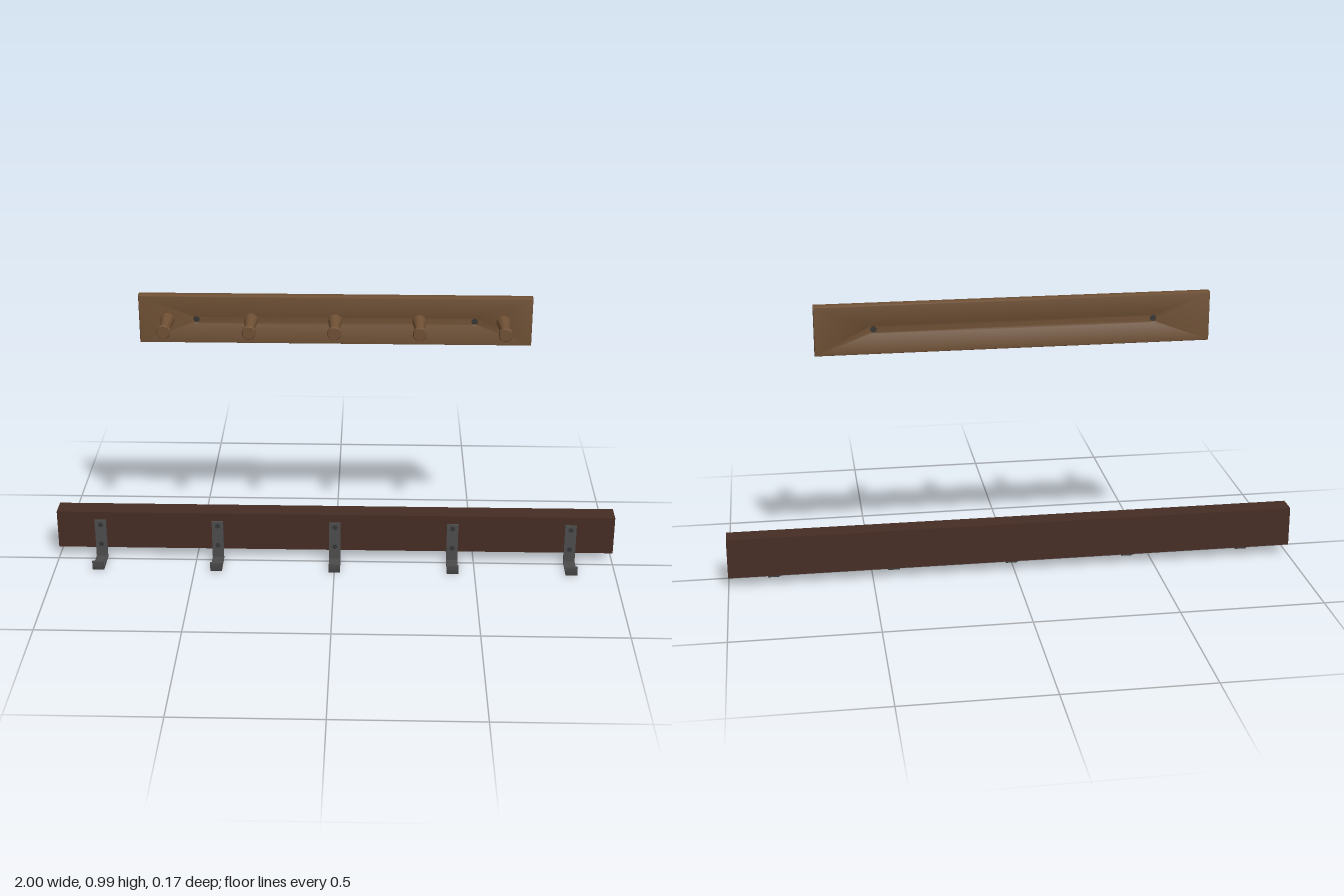
import * as THREE from 'three';
import { toCreasedNormals } from 'three/addons/utils/BufferGeometryUtils.js';

const material = (name, color) => {
  const m = new THREE.MeshStandardMaterial({ color });
  m.name = name;
  return m;
};

export function createModel() {
  const oak = material('warm wood', 0x6f5034);
  const walnut = material('dark wood', 0x452d24);
  const iron = material('iron', 0x4c4c4d);
  const screwMetal = material('screw metal', 0x353536);

  const group = (name, parent) => {
    const g = new THREE.Group();
    g.name = name;
    parent.add(g);
    return g;
  };
  const add = (parent, name, geometry, mat, x = 0, y = 0, z = 0) => {
    const mesh = new THREE.Mesh(geometry, mat);
    mesh.name = name;
    mesh.position.set(x, y, z);
    parent.add(mesh);
    return mesh;
  };
  const model = new THREE.Group();
  model.name = 'coatRacks';

  // Upper rack: softly bevelled board with two countersunk screw holes
  const pegRack = group('pegRack', model);
  const W = 0.672, H = 0.0855, bevel = 0.005;
  const outline = new THREE.Shape();
  outline.moveTo(-W, -H).lineTo(W, -H).lineTo(W, H).lineTo(-W, H).closePath();
  for (const x of [-0.475, 0.475]) {
    outline.holes.push(new THREE.Path().absarc(x, 0, 0.01, 0, Math.PI * 2, true));
  }
  const board = new THREE.ExtrudeGeometry(outline, {
    depth: 0.036 - 2 * bevel, bevelEnabled: true, bevelThickness: bevel,
    bevelSize: bevel, bevelOffset: -bevel, bevelSegments: 2, curveSegments: 10,
  });
  add(pegRack, 'board', toCreasedNormals(board, 0.7), oak, 0, 0.9075, -0.087 + bevel);

  // Screws sunk in the board
  const boardScrew = new THREE.CylinderGeometry(0.0105, 0.0105, 0.028, 16).rotateX(Math.PI / 2);
  for (const x of [-0.475, 0.475]) {
    add(pegRack, 'boardScrew', boardScrew, screwMetal, x, 0.9075, -0.069);
  }

  // Turned pegs: tapered shaft and wider rounded head
  const profile = [
    [0.024, 0], [0.0135, 0.102], [0.02, 0.104], [0.0235, 0.108],
    [0.0235, 0.121], [0.021, 0.125], [0, 0.125],
  ].map(([r, h]) => new THREE.Vector2(r, h));
  const peg = toCreasedNormals(new THREE.LatheGeometry(profile, 28).rotateX(Math.PI / 2), 0.6);
  for (let i = -2; i <= 2; i++) add(pegRack, 'peg', peg, oak, i * 0.287, 0.9075, -0.051);

  // Lower rack: plain heavy rail
  const hookRack = group('hookRack', model);
  add(hookRack, 'rail', new THREE.BoxGeometry(2, 0.142, 0.071), walnut, 0, 0.109, -0.0515);

  // Hook side profile: flat strip bent twice, drawn as z across and y up
  const back = -0.016, front = 0.087, t = 0.007, r = 0.007;
  const strip = new THREE.Shape();
  strip.moveTo(back, 0.15);
  strip.lineTo(back, 0.003).quadraticCurveTo(back, 0, back + 0.003, 0);
  strip.lineTo(front - r, 0).quadraticCurveTo(front, 0, front, r);
  strip.lineTo(front, 0.035).lineTo(front - t, 0.035).lineTo(front - t, t + 0.003);
  strip.quadraticCurveTo(front - t, t, front - t - 0.003, t);
  strip.lineTo(back + t, t).lineTo(back + t, 0.15).closePath();
  const hookWidth = 0.041;
  const hook = toCreasedNormals(
    new THREE.ExtrudeGeometry(strip, { depth: hookWidth, bevelEnabled: false, curveSegments: 4 })
      .translate(0, 0, -hookWidth / 2).rotateY(-Math.PI / 2), 0.6);

  // Five hooks, each held by two flat screws
  const hookScrew = new THREE.CylinderGeometry(0.009, 0.009, 0.002, 16).rotateX(Math.PI / 2);
  for (let i = -2; i <= 2; i++) {
    const unit = group('hook', hookRack);
    unit.position.x = i * 0.422;
    add(unit, 'hookStrip', hook, iron);
    for (const y of [0.055, 0.133]) {
      add(unit, 'hookScrew', hookScrew, screwMetal, 0, y, back + t + 0.0005);
    }
  }
  return model;
}
